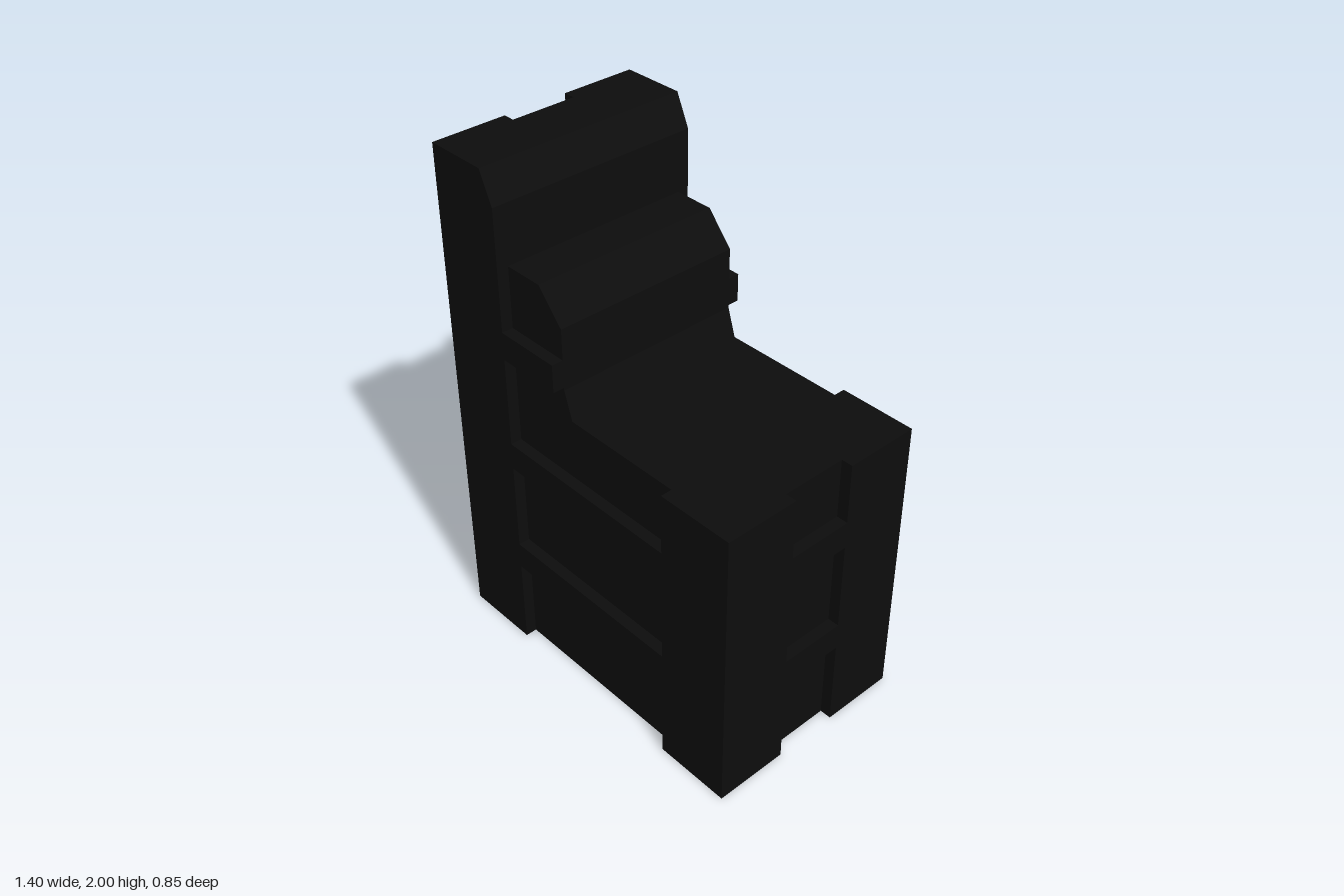
import * as THREE from 'three';

const material = new THREE.MeshStandardMaterial({ color: 0x0d0d0d, flatShading: true });

const HALF_X = 0.7, HALF_Z = 0.425;       // outer faces
const CORE_X = 0.655, CORE_Z = 0.38;      // recessed panel faces
const POST_X = 0.395, POST_Z = 0.13;      // inner edges of the corner posts
const LOW = 1.18, HIGH = 2;               // roof heights
const BAND = 0.11, PITCH = 0.47, FIRST = 0.36;

export function createModel() {
  const model = new THREE.Group();

  const add = (name, geometry) => {
    const mesh = new THREE.Mesh(geometry, material);
    mesh.name = name;
    model.add(mesh);
  };

  const box = (name, x0, x1, y0, y1, z0, z1) => {
    const g = new THREE.BoxGeometry(x1 - x0, y1 - y0, z1 - z0);
    g.translate((x0 + x1) / 2, (y0 + y1) / 2, (z0 + z1) / 2);
    add(name, g);
  };

  // side profile pushed along z
  const slab = (name, points, z0, z1) => {
    const shape = new THREE.Shape(points.map(([x, y]) => new THREE.Vector2(x, y)));
    const g = new THREE.ExtrudeGeometry(shape, { depth: z1 - z0, bevelEnabled: false });
    g.translate(0, 0, z0);
    add(name, g);
  };

  // stepped core, from the low roof up to the tower
  const upper = [
    [CORE_X, 0], [CORE_X, LOW], [-0.095, LOW], [-0.13, 1.29], [-0.13, 1.53],
    [-0.235, 1.65], [-POST_X, 1.65], [-POST_X, 1.88], [-0.45, HIGH],
    [-CORE_X, HIGH], [-CORE_X, 0],
  ];
  slab('core', upper, -CORE_Z + 0.04, CORE_Z);

  // back skin with a small slot at its foot
  const slot = [[-0.02, 0], [-0.02, 0.1], [0.05, 0.1], [0.05, 0]];
  slab('backPanel', [...upper, ...slot], -CORE_Z, -CORE_Z + 0.04);

  // corner posts
  const towerPost = [
    [-HALF_X, 0], [-POST_X, 0], [-POST_X, 1.88], [-0.45, HIGH], [-HALF_X, HIGH],
  ];
  for (const [z0, z1] of [[POST_Z, HALF_Z], [-HALF_Z, -POST_Z]]) {
    slab('towerPost', towerPost, z0, z1);
    box('lowPost', POST_X, HALF_X, 0, LOW, z0, z1);
  }

  // raised bands between the posts
  for (let i = 0; i < 4; i++) {
    const y0 = FIRST + i * PITCH, y1 = y0 + BAND;
    box('towerSideBand', -HALF_X, -CORE_X, y0, y1, -POST_Z, POST_Z);
    if (i < 2) box('lowSideBand', CORE_X, HALF_X, y0, y1, -POST_Z, POST_Z);
    if (i < 3) {
      const end = i < 2 ? POST_X : -0.13;
      box('frontBand', -POST_X, end, y0, y1, CORE_Z, HALF_Z);
      box('backBand', -POST_X, end, y0, y1, -HALF_Z, -CORE_Z);
    }
  }

  return model;
}
